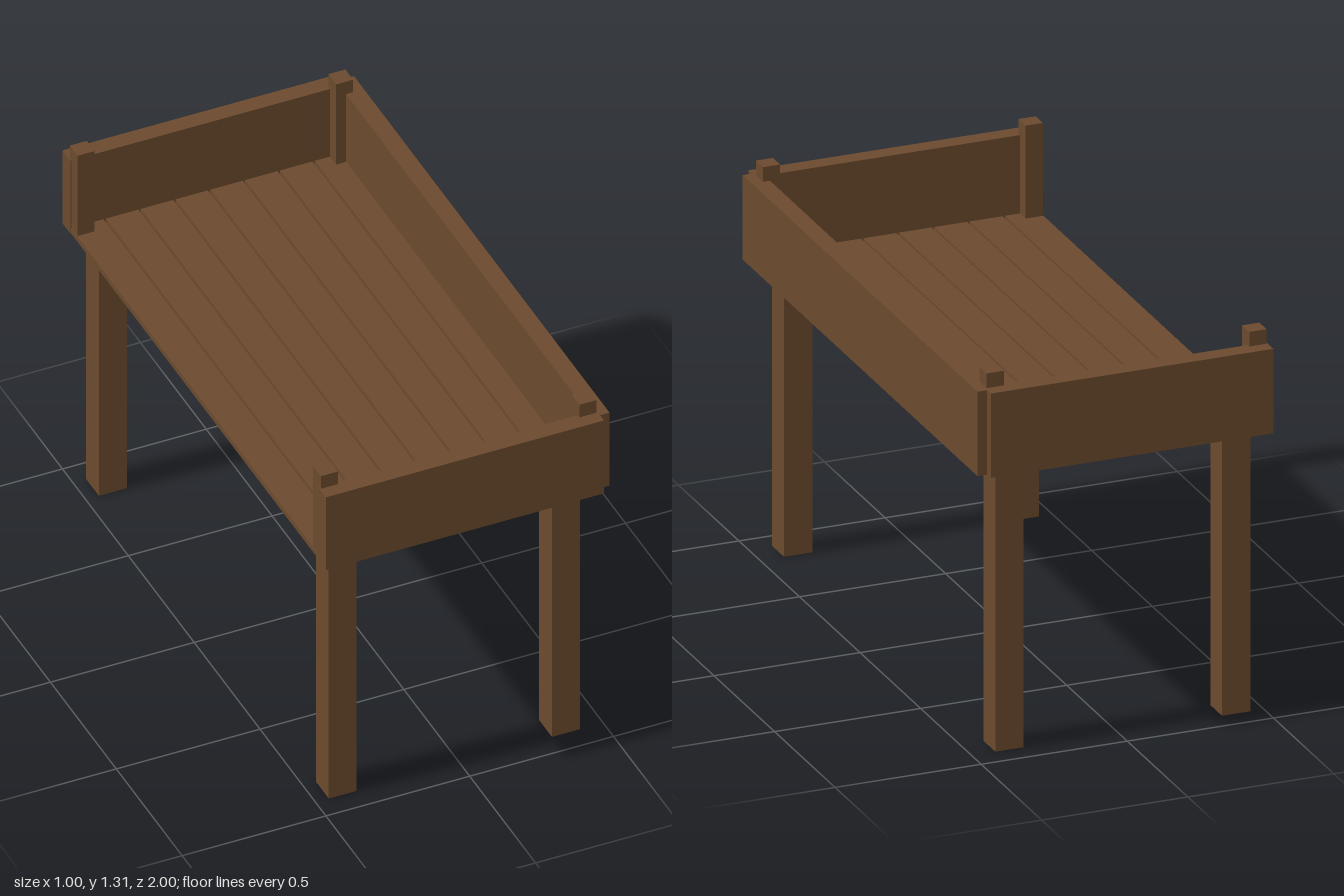
import * as THREE from 'three';

export function createModel() {
  const model = new THREE.Group();
  const wood = new THREE.MeshStandardMaterial({ color: 0x6b4a2e, flatShading: true });

  // Box given by its lower and upper limits on each axis
  function board(name, [x0, x1], [y0, y1], [z0, z1]) {
    const mesh = new THREE.Mesh(new THREE.BoxGeometry(x1 - x0, y1 - y0, z1 - z0), wood);
    mesh.position.set((x0 + x1) / 2, (y0 + y1) / 2, (z0 + z1) / 2);
    mesh.name = name;
    model.add(mesh);
  }

  const bottom = 0.974, deckTop = 0.995, rim = 1.263;

  // Deck of eight long planks with narrow gaps
  const pitch = 0.1211, plankWidth = 0.113;
  for (let i = 0; i < 8; i++) {
    const x = -0.498 + i * pitch;
    board('deckPlank', [x, x + plankWidth], [bottom + 0.001, deckTop], [-0.955, 0.955]);
  }

  // Side board on one long side only; the other side is open
  board('sideBoard', [0.438, 0.5], [bottom, rim], [-0.97, 0.97]);

  for (const s of [1, -1]) {
    const end = s > 0 ? 'front' : 'back';
    const span = (a, b) => (s > 0 ? [a, b] : [-b, -a]);

    // End board
    board(end + 'Board', [-0.5, 0.467], [bottom, rim], span(0.94, 1));

    // Thin corner posts rising above the rim, and thick legs below
    for (const [side, post, leg] of [
      ['Right', [-0.496, -0.437], [-0.454, -0.357]],
      ['Left', [0.403, 0.462], [0.322, 0.419]],
    ]) {
      board(end + side + 'Post', post, [bottom + 0.002, 1.313], span(0.894, 0.953));
      board(end + side + 'Leg', leg, [0, bottom + 0.001], span(0.824, 0.921));
    }
  }
  return model;
}
